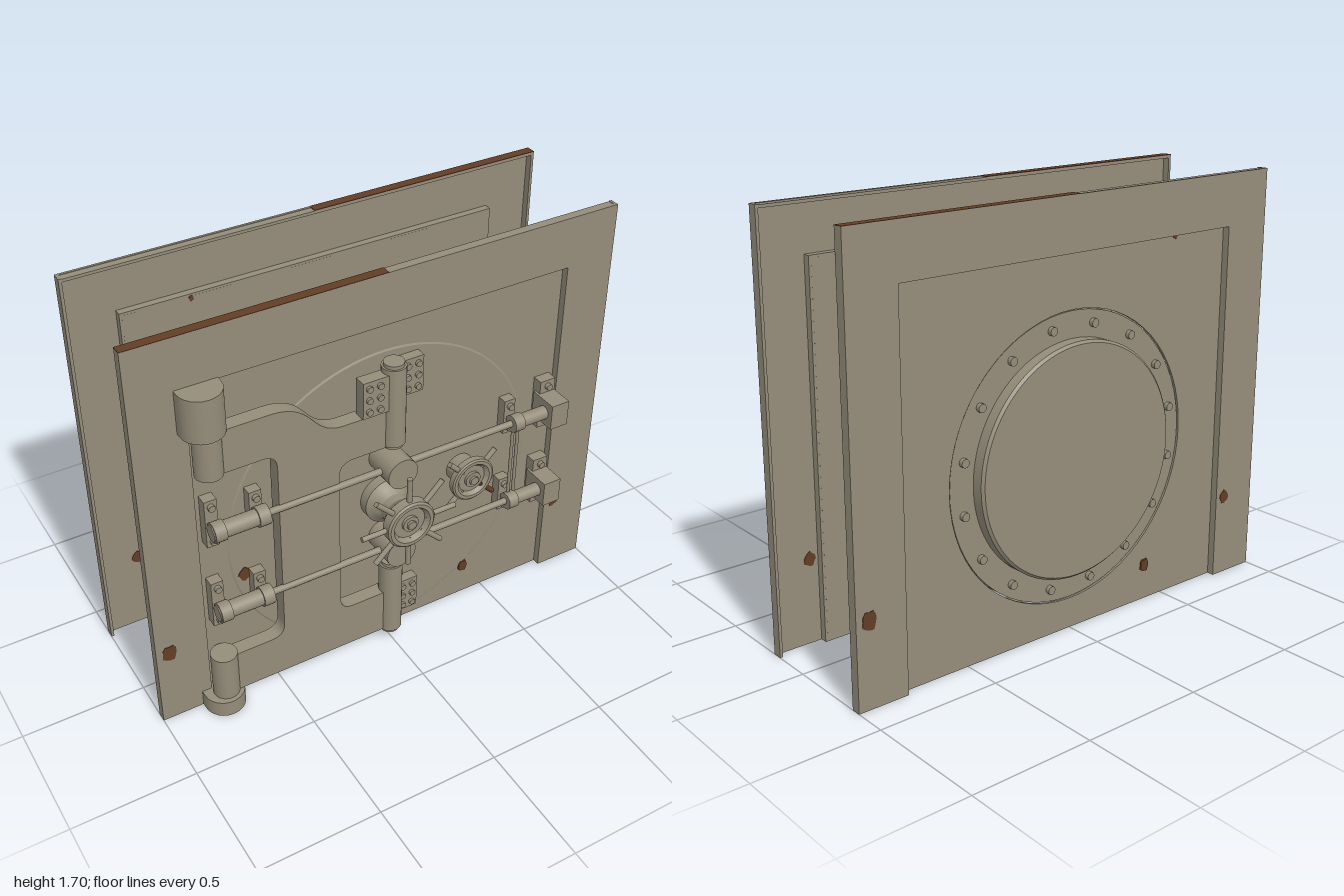
import * as THREE from 'three';
import { toCreasedNormals } from 'three/addons/utils/BufferGeometryUtils.js';

export function createModel() {
  const model = new THREE.Group();
  model.name = 'vaultDoor';
  const steel = new THREE.MeshStandardMaterial({ color: 0x958d7b });
  steel.name = 'weathered steel';
  const rust = new THREE.MeshStandardMaterial({ color: 0x633d25 });
  rust.name = 'rust';
  const CY = 0.7; // height of the door axis

  function add(parent, name, geo, x = 0, y = 0, z = 0, mat = steel) {
    const m = new THREE.Mesh(geo, mat);
    m.name = name;
    m.position.set(x, y, z);
    parent.add(m);
    return m;
  }
  const box = (w, h, d) => new THREE.BoxGeometry(w, h, d);
  // Cylinder along a chosen axis
  function rod(r, len, axis = 'y', sides = 24) {
    const g = new THREE.CylinderGeometry(r, r, len, sides);
    if (axis === 'x') g.rotateZ(Math.PI / 2);
    if (axis === 'z') g.rotateX(Math.PI / 2);
    return g;
  }
  // Turned part around z, from [radius, z] pairs running back to front
  function turned(points, sides) {
    const g = new THREE.LatheGeometry(points.map(p => new THREE.Vector2(p[0], p[1])), sides);
    g.rotateX(Math.PI / 2);
    return toCreasedNormals(g, 0.45);
  }
  const extrude = (shape, depth) =>
    new THREE.ExtrudeGeometry(shape, { depth, bevelEnabled: false, curveSegments: 32 });
  const polygon = pts => new THREE.Shape(pts.map(p => new THREE.Vector2(p[0], p[1])));

  // Irregular rust spot, passing through a thin sheet
  function rustSpot(parent, x, y, r, z, depth) {
    const pts = [];
    for (let i = 0; i < 12; i++) {
      const a = i * Math.PI / 6, k = r * (1 + 0.13 * Math.sin(i * 2.3 + x * 9));
      pts.push([Math.cos(a) * k * 0.9, Math.sin(a) * k * 1.1]);
    }
    add(parent, 'rustSpot', extrude(polygon(pts), depth), x, y, z, rust);
  }

  // Pressed wall plate: raised border, folded rim and sunken panel with a round hole
  function wallPlate(name, holeRadius) {
    const g = new THREE.Group();
    g.name = name;
    const border = polygon([[-1, 0], [-0.79, 0], [-0.79, 1.49], [0.79, 1.49], [0.79, 0], [1, 0], [1, 1.7], [-1, 1.7]]);
    add(g, 'border', extrude(border, 0.01), 0, 0, -0.01);
    const panel = polygon([[-0.79, 0], [0.79, 0], [0.79, 1.49], [-0.79, 1.49]]);
    panel.holes.push(new THREE.Path().absarc(0, CY, holeRadius, 0, Math.PI * 2, true));
    add(g, 'sunkenPanel', extrude(panel, 0.01), 0, 0, -0.04);
    for (const s of [-1, 1]) {
      add(g, 'sideRim', box(0.012, 1.7, 0.04), s * 0.994, 0.85, -0.02);
      add(g, 'recessSide', box(0.01, 1.49, 0.039), s * 0.795, 0.745, -0.0203);
    }
    add(g, 'topRim', box(2, 0.012, 0.04), 0, 1.692, -0.02);
    add(g, 'recessTop', box(1.6, 0.01, 0.039), 0, 1.495, -0.0203);
    add(g, 'rustyTopEdge', box(1, 0.003, 0.04), -0.5, 1.6995, -0.02, rust);
    rustSpot(g, -0.945, 0.34, 0.034, -0.012, 0.014);
    rustSpot(g, 0.835, 0.345, 0.026, -0.012, 0.014);
    rustSpot(g, 0.52, 1.482, 0.011, -0.042, 0.014);
    rustSpot(g, 0.4, 0.15, 0.024, -0.042, 0.02);
    model.add(g);
    return g;
  }
  wallPlate('frontWall', 0.66).position.z = 0.2;
  const back = wallPlate('backWall', 0.575);
  back.rotation.y = Math.PI;
  back.position.z = -0.37;

  // Tapered door plug with a stepped back
  add(model, 'doorPlug', turned([
    [0, -0.39], [0.455, -0.39], [0.465, -0.38], [0.465, -0.335], [0.57, -0.335],
    [0.57, -0.2], [0.67, 0.16], [0.67, 0.168], [0.66, 0.174], [0, 0.174]], 96), 0, CY, 0);
  rustSpot(model, -0.605, 0.565, 0.028, 0.173, 0.004);
  rustSpot(model, -0.585, 0.395, 0.02, 0.173, 0.004);

  // Radial locking pins and the ring of bolts on the back
  for (let i = 0; i < 16; i++) {
    const a = i * Math.PI / 8, c = Math.cos(a), s = Math.sin(a);
    const pin = add(model, 'lockingPin', rod(0.03, 0.09), c * 0.567, CY + s * 0.567, -0.272);
    pin.rotation.z = a - Math.PI / 2;
    const b = a + Math.PI / 16;
    add(model, 'backBolt', rod(0.017, 0.02, 'z', 12),
      Math.cos(b) * 0.52, CY + Math.sin(b) * 0.52, -0.342);
  }

  // Hinge: rounded end blocks and barrels
  for (const [y0, y1] of [[1.32, 1.495], [0, 0.07]]) {
    const h = y1 - y0, y = (y0 + y1) / 2;
    add(model, 'hingeBlock', rod(0.082, h), -0.748, y, 0.225);
    add(model, 'hingeBlockBase', box(0.164, h, 0.06), -0.748, y, 0.195);
  }
  add(model, 'hingeBarrel', rod(0.053, 0.18), -0.742, 1.23, 0.235);
  add(model, 'hingeBarrel', rod(0.053, 0.2), -0.742, 0.17, 0.235);

  // Yoke carrying the door from the hinge
  const yoke = new THREE.Shape();
  yoke.moveTo(-0.74, 1.32);
  yoke.lineTo(-0.5, 1.32);
  yoke.bezierCurveTo(-0.33, 1.31, -0.36, 1.17, -0.22, 1.165);
  yoke.lineTo(0, 1.165);
  yoke.lineTo(0, 1);
  yoke.lineTo(-0.18, 1);
  yoke.quadraticCurveTo(-0.24, 1, -0.24, 0.94);
  yoke.lineTo(-0.24, 0.33);
  yoke.quadraticCurveTo(-0.24, 0.27, -0.18, 0.27);
  yoke.lineTo(0, 0.27);
  yoke.lineTo(0, 0.07);
  yoke.lineTo(-0.74, 0.07);
  yoke.lineTo(-0.74, 0.26);
  yoke.lineTo(-0.55, 0.26);
  yoke.quadraticCurveTo(-0.49, 0.26, -0.49, 0.32);
  yoke.lineTo(-0.49, 1.08);
  yoke.quadraticCurveTo(-0.49, 1.14, -0.55, 1.14);
  yoke.lineTo(-0.74, 1.14);
  add(model, 'yoke', extrude(yoke, 0.06), 0, 0, 0.2);

  // Central pivot barrels with riveted plates
  for (const y of [1.175, 0.235]) {
    add(model, 'pivotBarrel', rod(0.048, 0.34), 0, y, 0.24);
    for (const s of [-1, 1]) add(model, 'barrelCap', rod(0.04, 0.015), 0, y + s * 0.177, 0.24);
  }
  function rivetPlate(side, y, z) {
    add(model, 'rivetPlate', box(0.145, 0.155, 0.05), side * 0.0725, y, z - 0.025);
    for (const x of [0.075, 0.12]) for (const dy of [-0.05, 0, 0.05])
      add(model, 'rivet', rod(0.013, 0.012, 'z', 12), side * x, y + dy, z + 0.005);
  }
  rivetPlate(1, 1.247, 0.215);
  rivetPlate(-1, 1.247, 0.27);
  rivetPlate(1, 0.163, 0.215);

  // Clamp plate with a bolt at each end
  function clamp(x, y, w, h) {
    add(model, 'clampPlate', box(w, h, 0.045), x, y, 0.1925);
    for (const s of [-1, 1])
      add(model, 'clampBolt', rod(0.014, 0.018, 'z', 12), x, y + s * (h / 2 - 0.027), 0.222);
  }
  // Horizontal lock bars
  for (const y of [0.897, 0.508]) {
    add(model, 'lockBar', rod(0.014, 1.45, 'x', 16), -0.03, y, 0.26);
    add(model, 'barHub', rod(0.064, 0.15, 'z', 32), 0, y, 0.245);
    clamp(-0.738, y, 0.05, 0.21);
    clamp(-0.563, y, 0.05, 0.155);
    clamp(0.555, y, 0.05, 0.155);
    clamp(0.735, y, 0.07, 0.22);
    add(model, 'leftSleeve', rod(0.033, 0.19, 'x'), -0.67, y, 0.262);
    add(model, 'leftSleeveCollar', rod(0.04, 0.045, 'x'), -0.738, y, 0.262);
    add(model, 'leftSleeveCollar', rod(0.04, 0.045, 'x'), -0.563, y, 0.262);
    add(model, 'rightSleeve', rod(0.028, 0.15, 'x'), 0.62, y, 0.262);
    add(model, 'rightSleeveCollar', rod(0.036, 0.045, 'x'), 0.555, y, 0.262);
    add(model, 'latchBlock', box(0.08, 0.11, 0.125), 0.73, y, 0.25);
  }
  for (const x of [0.552, 0.576])
    add(model, 'linkRod', rod(0.007, 0.36, 'y', 10), x, 0.7025, 0.25);

  // Turned hand wheel with radial spokes; angles are in degrees
  function handWheel(name, x, profile, spokeZ, r0, r1, angles, rustyAngle) {
    const g = new THREE.Group();
    g.name = name;
    g.position.set(x, CY, 0);
    add(g, 'wheelBody', turned(profile, 40));
    for (const deg of angles) {
      const a = deg * Math.PI / 180, r = (r0 + r1) / 2;
      const spoke = add(g, 'spoke', rod(0.011, r1 - r0, 'y', 12),
        Math.cos(a) * r, Math.sin(a) * r, spokeZ, deg === rustyAngle ? rust : steel);
      spoke.rotation.z = a - Math.PI / 2;
    }
    const top = profile[profile.length - 1][1];
    add(g, 'hubBoss', rod(0.034, 0.016, 'z', 20), 0, 0, top + 0.004);
    add(g, 'hubNut', rod(0.02, 0.03, 'z', 6), 0, 0, top + 0.008);
    model.add(g);
  }
  handWheel('mainWheel', 0, [
    [0.1, 0.17], [0.1, 0.215], [0.075, 0.235], [0.06, 0.26], [0.06, 0.295], [0.075, 0.32],
    [0.103, 0.345], [0.103, 0.385], [0.095, 0.392], [0.08, 0.392], [0.068, 0.37], [0, 0.37]],
    0.366, 0.07, 0.207, [0, 45, 90, 135, 180, 225, 270, 315]);
  handWheel('smallWheel', 0.355, [
    [0.06, 0.17], [0.06, 0.22], [0.07, 0.235], [0.095, 0.25], [0.095, 0.275],
    [0.088, 0.28], [0.074, 0.28], [0.06, 0.265], [0, 0.265]],
    0.262, 0.06, 0.15, [45, 135, 225, 315], 315);

  return model;
}
